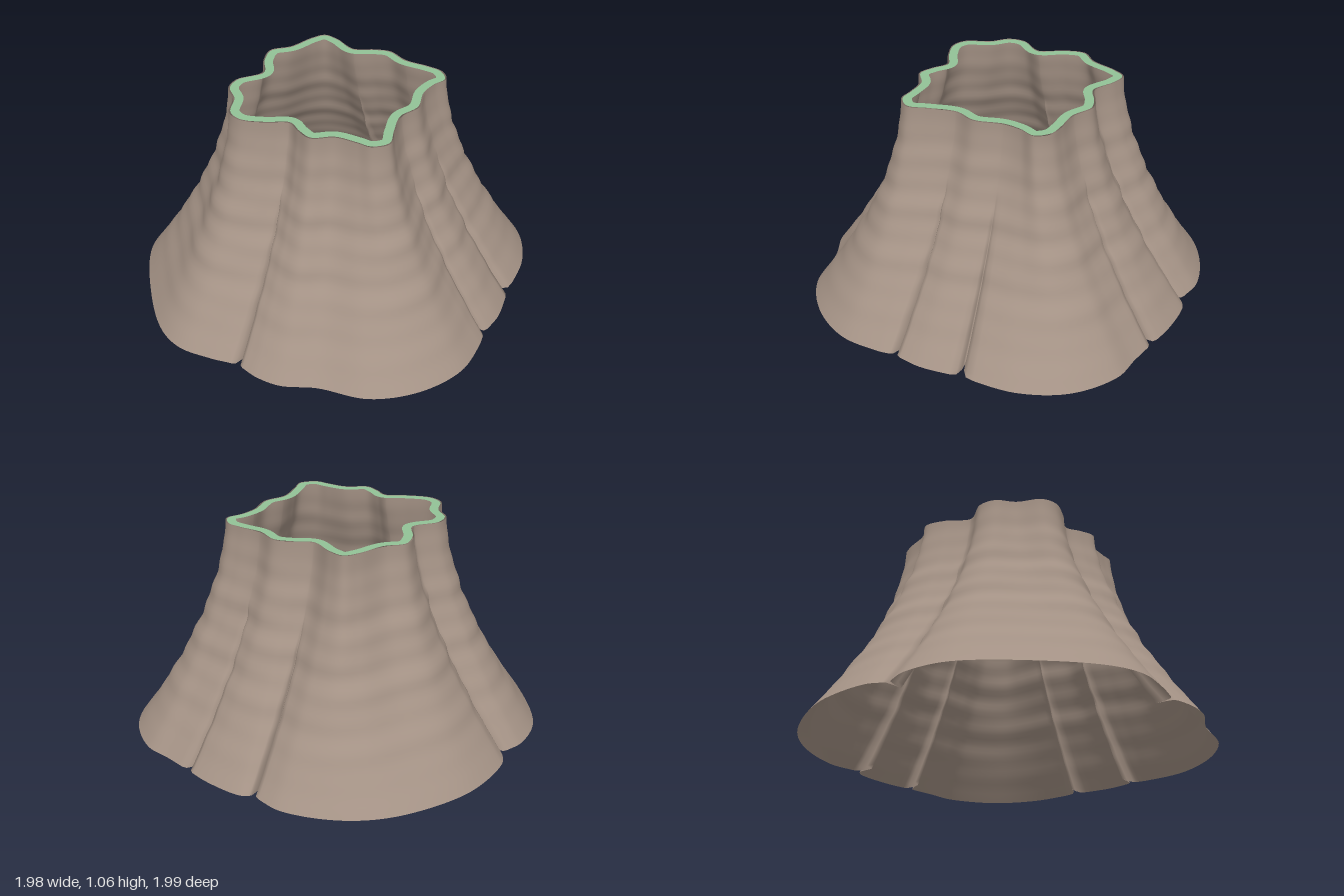
import * as THREE from 'three';

const HEIGHT = 1.06, STEPS = 48, PER = 8;

// matching outline points: rim x, rim z, base x, base z
const OUTLINE = [
  [0.065, -0.5, 0.1, -0.995], [0.16, -0.455, 0.4, -0.94], [0.3, -0.445, 0.59, -0.85],
  [0.37, -0.42, 0.74, -0.71], [0.38, -0.34, 0.85, -0.52], [0.36, -0.21, 0.87, -0.36],
  [0.43, -0.13, 0.91, -0.31], [0.47, -0.06, 0.955, -0.13], [0.455, 0.055, 0.965, 0.02],
  [0.485, 0.17, 0.975, 0.17], [0.495, 0.25, 0.99, 0.32], [0.45, 0.315, 0.9, 0.55],
  [0.37, 0.31, 0.715, 0.715], [0.28, 0.325, 0.46, 0.81], [0.16, 0.39, 0.27, 0.89],
  [0.045, 0.385, 0.125, 0.915], [-0.075, 0.45, 0.04, 0.95], [-0.16, 0.5, -0.16, 0.995],
  [-0.235, 0.46, -0.4, 0.94], [-0.255, 0.39, -0.595, 0.8], [-0.29, 0.29, -0.71, 0.585],
  [-0.37, 0.22, -0.82, 0.45], [-0.365, 0.14, -0.86, 0.33], [-0.345, 0.06, -0.87, 0.21],
  [-0.42, -0.02, -0.93, 0.08], [-0.485, -0.12, -0.985, -0.08], [-0.475, -0.2, -0.97, -0.235],
  [-0.38, -0.28, -0.84, -0.49], [-0.33, -0.37, -0.595, -0.795], [-0.25, -0.4, -0.395, -0.88],
  [-0.12, -0.36, -0.265, -0.88], [-0.03, -0.45, -0.18, -0.94],
];
const FOLDS = [5, 8, 13, 15, 23, 30]; // outline points where the wall tucks inward
const COUNT = OUTLINE.length * PER;

// gather samples toward each fold so that its lips close
function gather(i) {
  return FOLDS.reduce((u, f) => {
    const d = i - f * PER;
    return u - 0.92 * d * Math.exp(-((d / 3) ** 2));
  }, i);
}

// inward depth of the narrow pleats, 0 to 1
function pleat(i) {
  return FOLDS.reduce((sum, f) => sum + Math.exp(-(((i - f * PER) / 1.3) ** 2)), 0);
}

// smooth closed loop through the outline, taking the pair of columns from k
function loop(k) {
  const curve = new THREE.CatmullRomCurve3(
    OUTLINE.map((p) => new THREE.Vector3(p[k], 0, p[k + 1])), true, 'centripetal');
  return Array.from({ length: COUNT }, (_, i) => curve.getPoint(gather(i) / COUNT));
}

// surface joining closed rings of equal length
function skin(rings) {
  const pos = [], idx = [];
  rings.forEach((ring) => ring.forEach((p) => pos.push(p.x, p.y, p.z)));
  for (let j = 0; j < rings.length - 1; j++) {
    for (let i = 0; i < COUNT; i++) {
      const n = (i + 1) % COUNT;
      const a = j * COUNT + i, b = j * COUNT + n, c = a + COUNT, d = b + COUNT;
      idx.push(a, c, b, b, c, d);
    }
  }
  const geo = new THREE.BufferGeometry();
  geo.setAttribute('position', new THREE.Float32BufferAttribute(pos, 3));
  geo.setIndex(idx);
  geo.computeVertexNormals();
  return geo;
}

export function createModel() {
  const model = new THREE.Group();
  const bark = new THREE.MeshStandardMaterial({ color: 0xa59386, side: THREE.DoubleSide });
  bark.name = 'brown bark';
  const green = new THREE.MeshStandardMaterial({ color: 0x92c297, side: THREE.DoubleSide });
  green.name = 'soft green';

  const top = loop(0), base = loop(2);

  // flared wall: rings blend from base to rim, with ripples and pleats
  const rings = [];
  for (let j = 0; j <= STEPS; j++) {
    const s = j / STEPS;
    const flare = (1 - s) ** 1.57;
    const edge = Math.sin(Math.PI * s);
    const tuck = 0.09 * Math.max(0, 1 - s / 0.7);
    rings.push(top.map((t, i) => {
      const p = t.clone().lerp(base[i], flare);
      const a = (i / COUNT) * Math.PI * 2;
      const ripple = 0.0035 * edge * (Math.sin(s * 58 + 1.5 * Math.sin(2 * a)) + Math.sin(s * 31 + 3 * a));
      p.multiplyScalar(1 + (ripple + 0.008 * s - tuck * pleat(i)) / p.length());
      p.y = s * HEIGHT;
      return p;
    }));
  }
  const wall = new THREE.Mesh(skin(rings), bark);
  wall.name = 'flaredWall';
  model.add(wall);

  // flat band just inside the opening, offset inward along the outline normal
  const band = (inset) => top.map((p, i) => {
    const d = top[(i + 3) % COUNT].clone().sub(top[(i + COUNT - 3) % COUNT]).normalize();
    return new THREE.Vector3(p.x - d.z * inset, HEIGHT, p.z + d.x * inset);
  });
  const rim = new THREE.Mesh(skin([band(0.043), band(0)]), green);
  rim.name = 'topRim';
  model.add(rim);

  return model;
}
